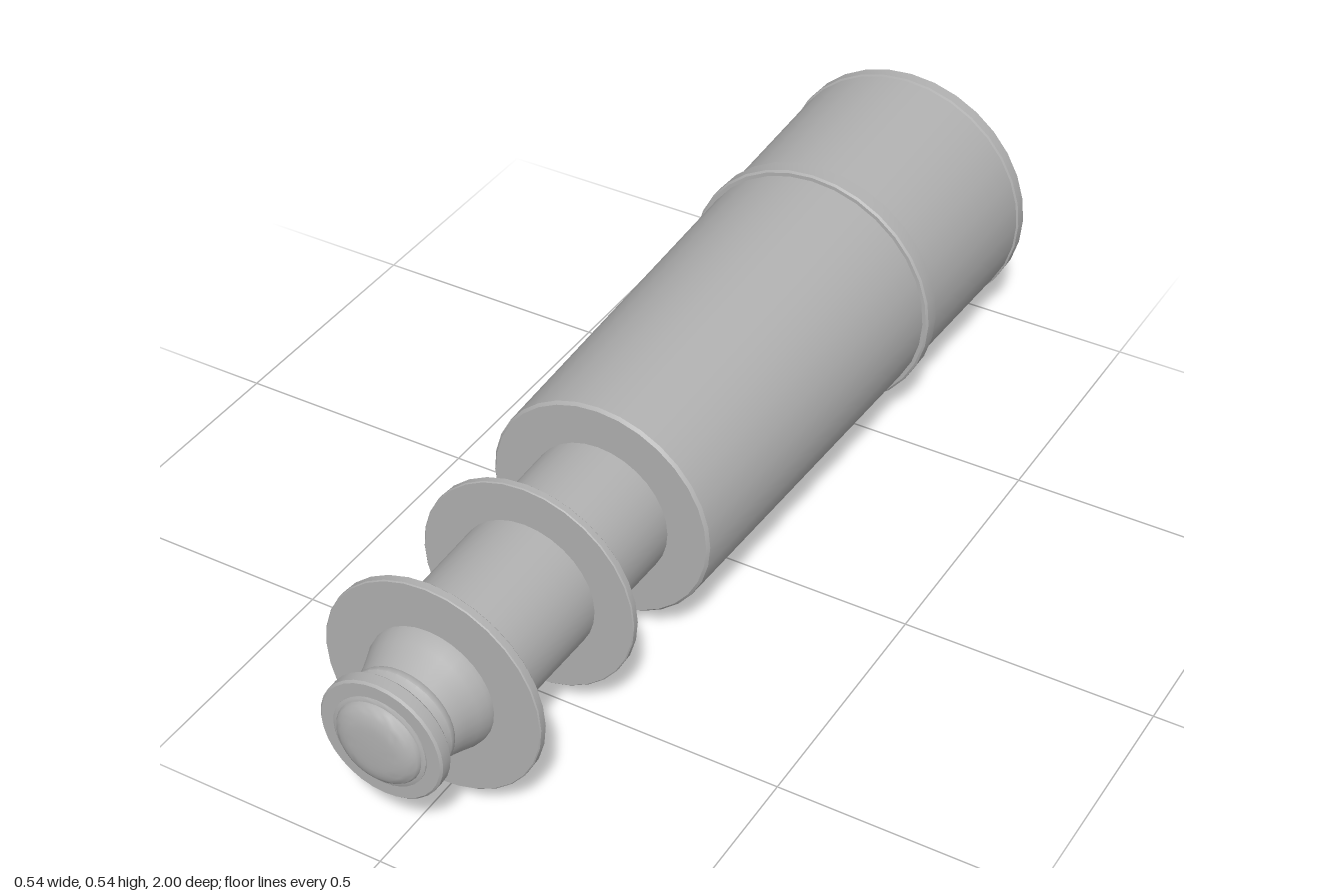
import * as THREE from 'three';
import { toCreasedNormals } from 'three/addons/utils/BufferGeometryUtils.js';

const SIDES = 32;

export function createModel() {
  const model = new THREE.Group();
  const scope = new THREE.Group();
  scope.name = 'spyglass';
  const grey = new THREE.MeshStandardMaterial({ color: 0xb0b0b0 });
  grey.name = 'plain grey';

  // Turns a profile of [radius, z], listed from back to front, about the long axis
  function turn(name, profile) {
    const points = profile.map(([r, z]) => new THREE.Vector2(r, z));
    const lathe = new THREE.LatheGeometry(points, SIDES).rotateX(Math.PI / 2);
    const mesh = new THREE.Mesh(toCreasedNormals(lathe, 0.6), grey);
    mesh.name = name;
    scope.add(mesh);
  }

  // Closed ring or disc with slightly bevelled edges
  function ring(name, radius, z0, z1, bevel = 0.002) {
    turn(name, [
      [0, z0], [radius - bevel, z0], [radius, z0 + bevel],
      [radius, z1 - bevel], [radius - bevel, z1], [0, z1],
    ]);
  }

  // Rounded edge of a lens: quarter ellipse from the flat face to the rim
  function roundEdge(flat, rim, zFace, zRim, steps = 7) {
    return Array.from({ length: steps + 1 }, (_, i) => {
      const a = (i / steps) * Math.PI / 2;
      return [flat + (rim - flat) * Math.sin(a), zRim + (zFace - zRim) * Math.cos(a)];
    });
  }

  // Main barrel, widening to the back, with a recessed seat for the lens
  turn('mainBarrel', [
    [0, -0.945], [0.222, -0.945], [0.226, -0.968], [0.266, -0.968],
    [0.268, -0.965], [0.2293, 0.266], [0.224, 0.272], [0, 0.272],
  ]);
  turn('barrelRim', [
    [0.226, -0.971], [0.268, -0.971], [0.271, -0.968], [0.271, -0.945], [0.266, -0.942],
  ]);
  ring('barrelBand', 0.266, -0.575, -0.535, 0.004);

  // Bulging front lens at the wide end
  turn('objectiveLens', [
    [0, -1], ...roundEdge(0.16, 0.216, -0.999, -0.968), [0.216, -0.945],
  ]);

  // Draw tube and its two flanges
  turn('drawTube', [[0, 0.2], [0.145, 0.2], [0.134, 0.81], [0, 0.81]]);
  ring('rearFlange', 0.219, 0.501, 0.517);
  ring('frontFlange', 0.219, 0.802, 0.82);

  // Flared eyepiece neck with a small bead
  turn('eyepieceNeck', [
    [0.127, 0.815], [0.125, 0.83], [0.117, 0.85], [0.108, 0.875], [0.101, 0.9],
    [0.104, 0.906], [0.104, 0.914], [0.1, 0.92], [0.098, 0.95],
  ]);
  ring('eyepieceRing', 0.123, 0.943, 0.973, 0.004);

  // Domed eyepiece lens
  turn('eyepieceBead', [[0.093, 0.97], [0.093, 0.975], [0.09, 0.977], [0.08, 0.977]]);
  turn('eyepieceLens', [
    [0.086, 0.965], ...roundEdge(0.035, 0.086, 0.998, 0.973).reverse(), [0, 1],
  ]);

  // The whole instrument dips slightly toward the eyepiece
  scope.rotation.x = 0.006;
  scope.position.y = 0.268;
  model.add(scope);
  return model;
}
